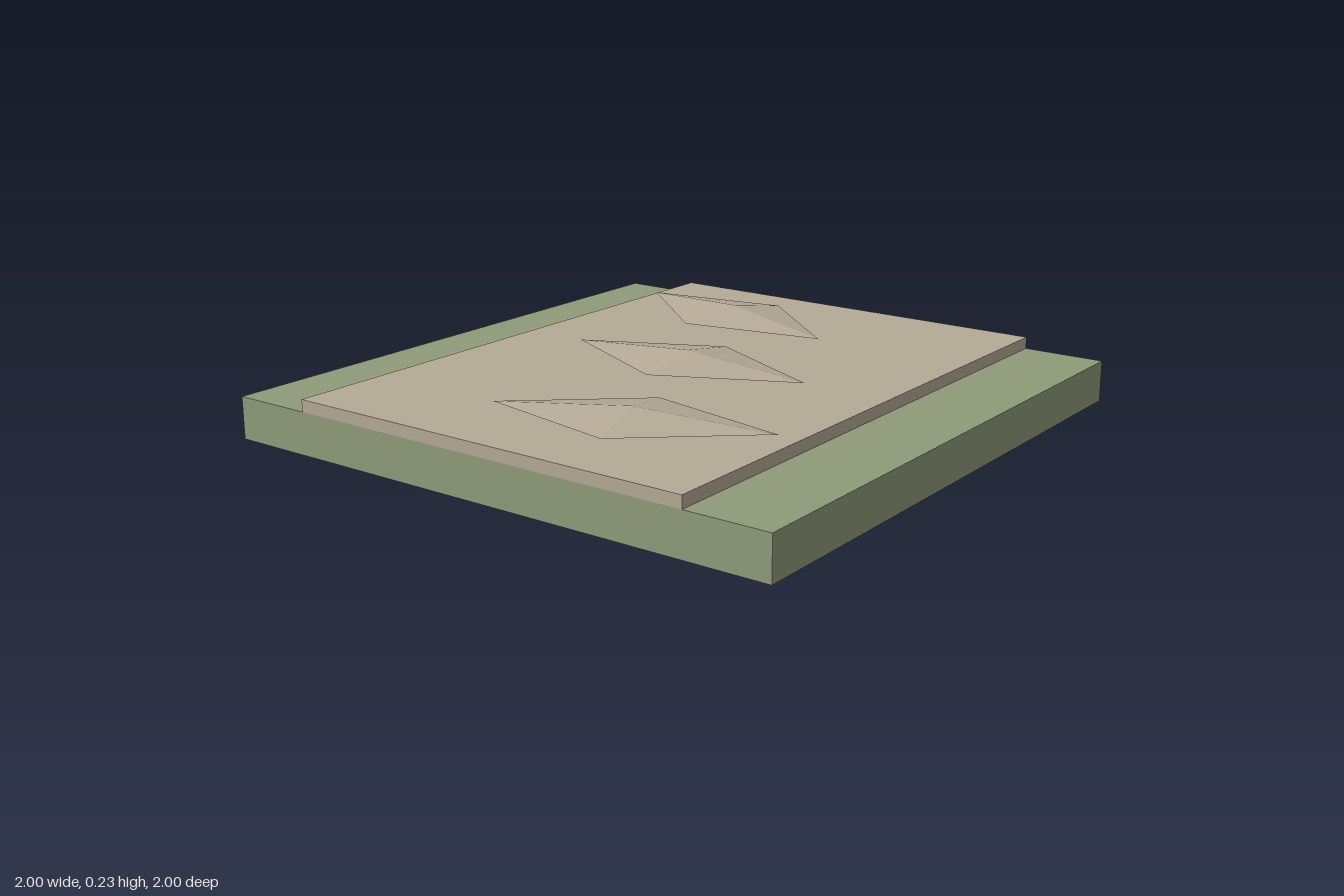
import * as THREE from 'three';

export function createModel() {
  const model = new THREE.Group();
  const grass = new THREE.MeshStandardMaterial({ color: 0x8f9b7a });
  grass.name = 'grass green';
  const dirt = new THREE.MeshStandardMaterial({ color: 0xb5aa97 });
  dirt.name = 'dirt tan';

  const add = (name, geometry, material, x, y, z) => {
    const mesh = new THREE.Mesh(geometry, material);
    mesh.name = name;
    mesh.position.set(x, y, z);
    model.add(mesh);
    return mesh;
  };

  // Ground tile with the raised path running front to back
  add('ground', new THREE.BoxGeometry(2, 0.14, 2), grass, 0, 0.07, 0);
  add('path', new THREE.BoxGeometry(1.44, 0.04, 2), dirt, 0, 0.16, 0);

  // Flat faceted stones, half sunk into the path and turned alternately
  const stone = new THREE.OctahedronGeometry(1).scale(0.45, 0.035, 0.217);
  for (const i of [-1, 0, 1]) {
    add('steppingStone', stone, dirt, i * 0.24, 0.2, i * 0.6).rotation.y = i * 0.26;
  }
  return model;
}
